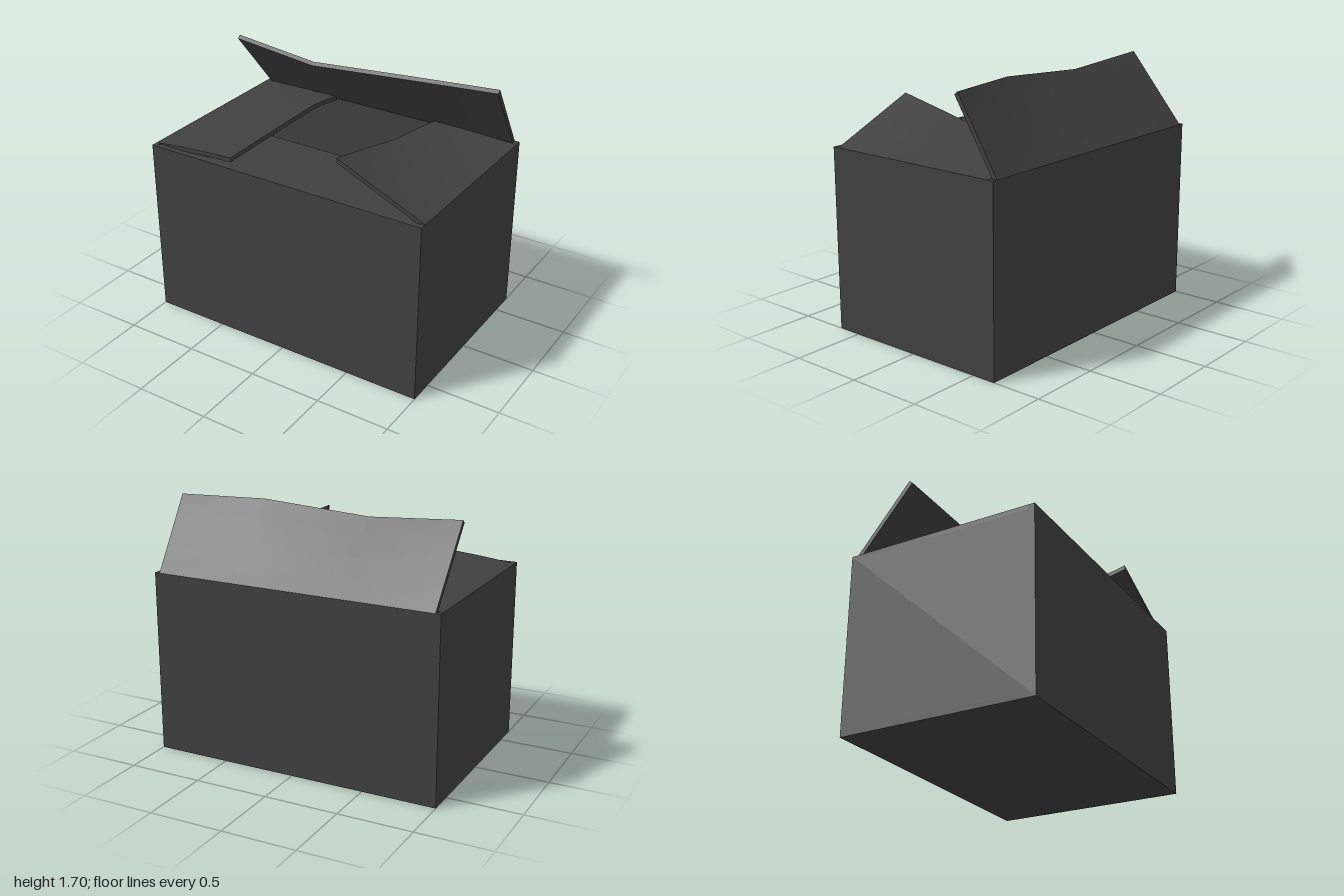
import * as THREE from 'three';
import { toCreasedNormals } from 'three/addons/utils/BufferGeometryUtils.js';

const W = 1, D = 0.665, H = 1.23, T = 0.03; // half width, half depth, wall height, board thickness
const board = new THREE.MeshStandardMaterial({ color: 0x404040, side: THREE.DoubleSide });

// Piecewise-linear lookup of a point along a row of points
function along(row, t, target) {
  const s = t * (row.length - 1);
  const i = Math.min(Math.floor(s), row.length - 2);
  return target.copy(row[i]).lerp(row[i + 1], s - i);
}

// A bent sheet of board from its hinge row to its free row, thickened against `up`
function flap(name, hinge, free, up, bow = 0) {
  const geo = new THREE.BoxGeometry(1, 1, 1, hinge.length - 1, 1, 4);
  const toPoints = (row) => row.map((p) => new THREE.Vector3(...p));
  const h = toPoints(hinge), f = toPoints(free);
  const n = new THREE.Vector3(...up).normalize();
  const a = new THREE.Vector3(), b = new THREE.Vector3();
  const pos = geo.attributes.position;
  for (let i = 0; i < pos.count; i++) {
    const u = pos.getX(i) + 0.5, v = pos.getZ(i) + 0.5;
    along(h, u, a).lerp(along(f, u, b), v);
    a.addScaledVector(n, (pos.getY(i) - 0.5) * T + bow * Math.sin(Math.PI * v));
    pos.setXYZ(i, a.x, a.y, a.z);
  }
  const mesh = new THREE.Mesh(toCreasedNormals(geo, 0.6), board);
  mesh.name = name;
  return mesh;
}

function rectangle(Kind, w, d) {
  const r = new Kind();
  r.moveTo(-w, -d).lineTo(w, -d).lineTo(w, d).lineTo(-w, d).closePath();
  return r;
}

export function createModel() {
  const box = new THREE.Group();
  box.name = 'openBox';

  // Four walls as one hollow tube
  const outline = rectangle(THREE.Shape, W, D);
  outline.holes.push(rectangle(THREE.Path, W - T, D - T));
  const wallGeo = new THREE.ExtrudeGeometry(outline, { depth: H, bevelEnabled: false });
  wallGeo.rotateX(-Math.PI / 2);
  const walls = new THREE.Mesh(wallGeo, board);
  walls.name = 'walls';
  box.add(walls);

  // Floor
  const floor = new THREE.Mesh(new THREE.BoxGeometry(2 * W, T, 2 * D), board);
  floor.position.y = T / 2;
  floor.name = 'floor';
  box.add(floor);

  // Front flap, folded in and sagging slightly
  box.add(flap('frontFlap',
    [[0.965, H, D], [-0.965, H, D]],
    [[0.965, 1.18, 0.05], [-0.965, 1.18, 0.05]], [0, 1, 0]));

  // Back flap, standing half open with a wavy free edge
  const backX = [-0.965, -0.33, 0.4, 0.965];
  const backEdge = [[1.7, -0.27], [1.65, -0.235], [1.7, -0.265], [1.7, -0.37]];
  box.add(flap('backFlap',
    backX.map((x) => [x, H, -D]),
    backX.map((x, i) => [x, ...backEdge[i]]), [0, 0.65, -0.76]));

  // Side flaps: the left one twists up at the front, the right one lies almost flat
  const sideZ = [-0.62, -0.345, -0.07, 0.275, 0.62];
  const leftY = [1.25, 1.295, 1.335, 1.417, 1.495];
  box.add(flap('leftFlap',
    sideZ.map((z) => [W, H, z]),
    sideZ.map((z, i) => [0.395, leftY[i], z]), [0, 1, 0]));

  const rightY = [1.245, 1.285, 1.285, 1.283, 1.28];
  const backward = [4, 3, 2, 1, 0];
  box.add(flap('rightFlap',
    backward.map((i) => [-W, H, sideZ[i]]),
    backward.map((i) => [-0.395, rightY[i], sideZ[i]]), [0, 1, 0], 0.006));

  return box;
}
